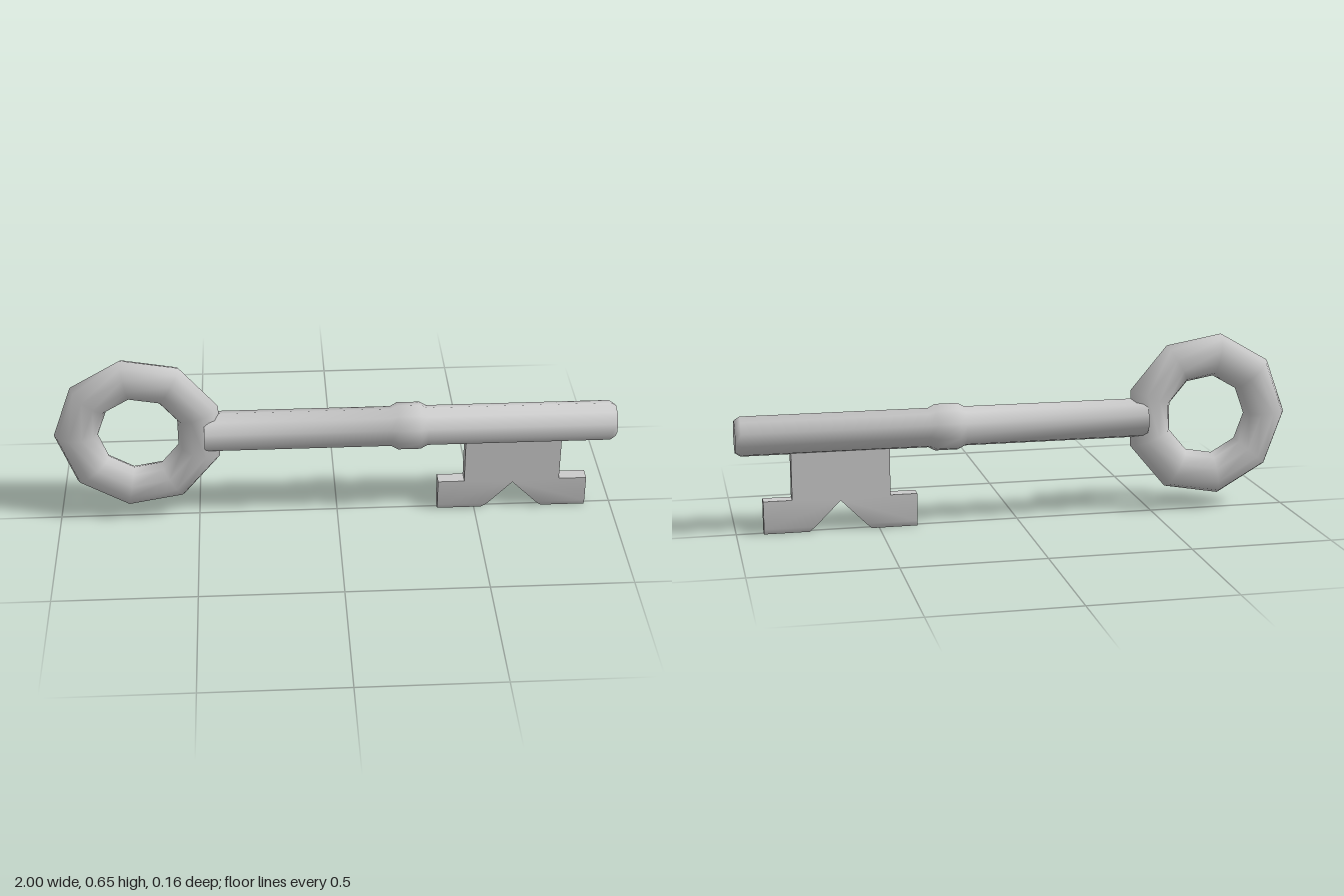
import * as THREE from 'three';
import { toCreasedNormals } from 'three/addons/utils/BufferGeometryUtils.js';

const AXIS_Y = 0.35;

export function createModel() {
  const group = new THREE.Group();
  const material = new THREE.MeshStandardMaterial({ color: 0xcccccc });
  const add = (name, geometry) => {
    const mesh = new THREE.Mesh(geometry, material);
    mesh.name = name;
    group.add(mesh);
    return mesh;
  };

  // Nine-sided ring handle, flattened front to back
  const ring = new THREE.TorusGeometry(0.2225, 0.0775, 10, 9);
  ring.rotateZ(Math.PI).scale(1, 1, 0.66);
  add('ringHandle', ring).position.set(-0.7, AXIS_Y, 0);

  // Ten-sided shaft with a raised collar and a bevelled tip: [radius, x]
  const profile = [
    [0, -0.47], [0.071, -0.47], [0.071, 0.19], [0.084, 0.215],
    [0.084, 0.295], [0.071, 0.32], [0.071, 0.975], [0.058, 0.995], [0, 0.995],
  ].map(([r, x]) => new THREE.Vector2(r, x));
  const shaft = new THREE.LatheGeometry(profile, 10, Math.PI / 2);
  shaft.rotateZ(-Math.PI / 2);
  add('shaft', toCreasedNormals(shaft, 1.1)).position.y = AXIS_Y;

  // Notched bit, extruded in three layers so its feet can be chamfered
  const outline = [
    [0.46, 0.32], [0.46, 0.12], [0.365, 0.12], [0.365, 0], [0.527, 0],
    [0.636, 0.11], [0.746, 0], [0.905, 0], [0.905, 0.12], [0.805, 0.12], [0.805, 0.32],
  ].map(([x, y]) => new THREE.Vector2(x, y));
  const bit = new THREE.ExtrudeGeometry(new THREE.Shape(outline), {
    depth: 3, steps: 3, bevelEnabled: false,
  });
  const layers = [-0.027, -0.017, 0.014, 0.023];
  const p = bit.attributes.position;
  for (let i = 0; i < p.count; i++) {
    const layer = Math.round(p.getZ(i));
    p.setZ(i, layers[layer]);
    // Lift the outer layers' bottom corners, sliding along the notch slope
    if ((layer === 0 || layer === 3) && p.getY(i) < 0.001) {
      const x = p.getX(i);
      p.setY(i, 0.02);
      if (x > 0.5 && x < 0.6) p.setX(i, x + 0.02);
      if (x > 0.7 && x < 0.8) p.setX(i, x - 0.02);
    }
  }
  add('bit', toCreasedNormals(bit, 0.6));

  return group;
}
